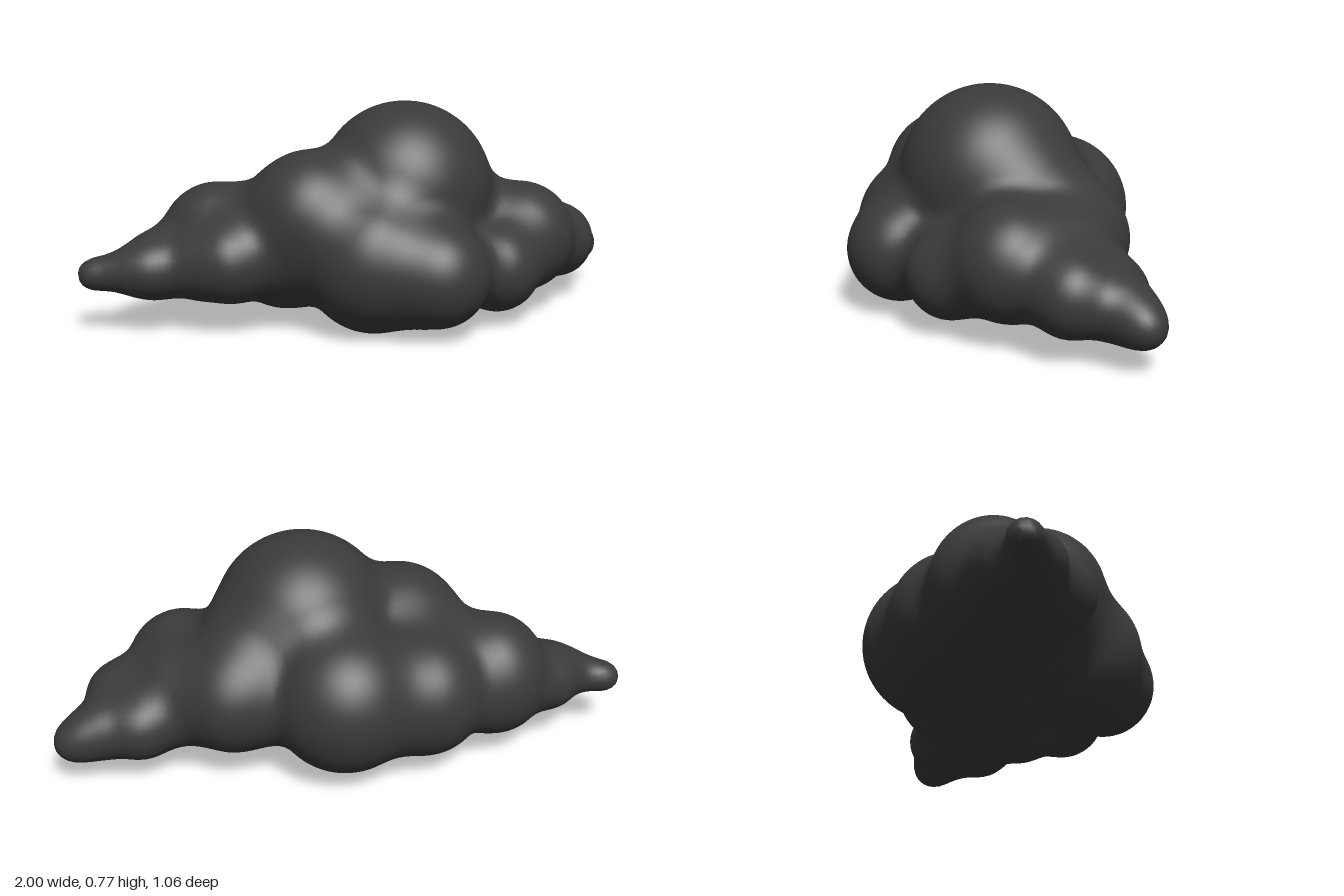
import * as THREE from 'three';

// Puffs of the cloud: x, y, z, radius
const PUFFS = [
  [0.1, 0.46, 0.03, 0.31], // crown
  [0.04, 0.29, -0.27, 0.26], [-0.235, 0.27, -0.28, 0.225], // back
  [-0.1, 0.25, 0.17, 0.25], [0.04, 0.22, 0.345, 0.183], [0.32, 0.2, 0.29, 0.155], // front
  [0.12, 0.27, -0.04, 0.25], [-0.25, 0.385, 0, 0.235], [-0.3, 0.28, -0.1, 0.23], // core
  [0.28, 0.345, -0.03, 0.235], [0.5, 0.27, 0.17, 0.2], [0.39, 0.28, -0.12, 0.2], // left shoulder
  [0.55, 0.25, 0, 0.18], [0.73, 0.215, 0.085, 0.14], [0.71, 0.19, -0.08, 0.115], // left wing
  [0.82, 0.18, -0.03, 0.092], [0.88, 0.17, -0.045, 0.073], [0.947, 0.15, -0.047, 0.053], // left tip
  [-0.51, 0.305, -0.235, 0.188], [-0.52, 0.235, -0.265, 0.165], // right wing
  [-0.54, 0.25, -0.05, 0.142], [-0.65, 0.23, -0.13, 0.1],
  [-0.73, 0.225, -0.255, 0.113], [-0.79, 0.22, -0.185, 0.085], // right tip
  [-0.87, 0.215, -0.235, 0.052], [-0.95, 0.207, -0.28, 0.05],
];
const BLEND = 0.085;
const CELL = 0.02;

// Signed distance to the softly blended puffs
function field(x, y, z) {
  let d = 10;
  for (const [cx, cy, cz, r] of PUFFS) {
    const s = Math.hypot(x - cx, y - cy, z - cz) - r;
    const h = Math.max(BLEND - Math.abs(d - s), 0) / BLEND;
    d = Math.min(d, s) - h * h * BLEND / 4;
  }
  return d;
}

function gradient(p) {
  const e = 0.002;
  return new THREE.Vector3(
    field(p.x + e, p.y, p.z) - field(p.x - e, p.y, p.z),
    field(p.x, p.y + e, p.z) - field(p.x, p.y - e, p.z),
    field(p.x, p.y, p.z + e) - field(p.x, p.y, p.z - e)
  ).divideScalar(2 * e);
}

// Skin the field: one quad for every grid edge that crosses the surface
function skinGeometry() {
  const origin = [-1.1, -0.1, -0.65];
  const n = [110, 50, 66];
  const step = [1, n[0], n[0] * n[1]];
  const values = new Float32Array(n[0] * n[1] * n[2]);
  const at = (i, axis) => origin[axis] + i * CELL;
  for (let k = 0; k < n[2]; k++)
    for (let j = 0; j < n[1]; j++)
      for (let i = 0; i < n[0]; i++)
        values[i + j * step[1] + k * step[2]] = field(at(i, 0), at(j, 1), at(k, 2));

  const positions = [], normals = [], index = [];
  const made = new Map();
  // Cell centre pulled onto the surface
  const vertex = (cell) => {
    if (made.has(cell)) return made.get(cell);
    const i = cell % n[0], j = Math.floor(cell / step[1]) % n[1], k = Math.floor(cell / step[2]);
    const p = new THREE.Vector3(at(i + 0.5, 0), at(j + 0.5, 1), at(k + 0.5, 2));
    for (let s = 0; s < 5; s++) {
      const g = gradient(p);
      p.addScaledVector(g, -field(p.x, p.y, p.z) / Math.max(g.lengthSq(), 0.2));
    }
    positions.push(p.x, p.y, p.z);
    normals.push(...gradient(p).normalize().toArray());
    made.set(cell, made.size);
    return made.size - 1;
  };

  for (let k = 1; k < n[2] - 1; k++)
    for (let j = 1; j < n[1] - 1; j++)
      for (let i = 1; i < n[0] - 1; i++) {
        const c = i + j * step[1] + k * step[2];
        for (let a = 0; a < 3; a++) {
          const inside = values[c] < 0;
          if (inside === values[c + step[a]] < 0) continue;
          const u = step[(a + 1) % 3], v = step[(a + 2) % 3];
          const q = [c - u - v, c - v, c, c - u].map(vertex);
          if (!inside) q.reverse();
          index.push(q[0], q[1], q[2], q[0], q[2], q[3]);
        }
      }

  const geometry = new THREE.BufferGeometry();
  geometry.setAttribute('position', new THREE.Float32BufferAttribute(positions, 3));
  geometry.setAttribute('normal', new THREE.Float32BufferAttribute(normals, 3));
  geometry.setIndex(index);
  return geometry;
}

export function createModel() {
  const group = new THREE.Group();
  group.name = 'cloud';
  const material = new THREE.MeshStandardMaterial({ color: 0x3a3a3a });
  const cloud = new THREE.Mesh(skinGeometry(), material);
  cloud.name = 'cloudBody';
  group.add(cloud);
  return group;
}
